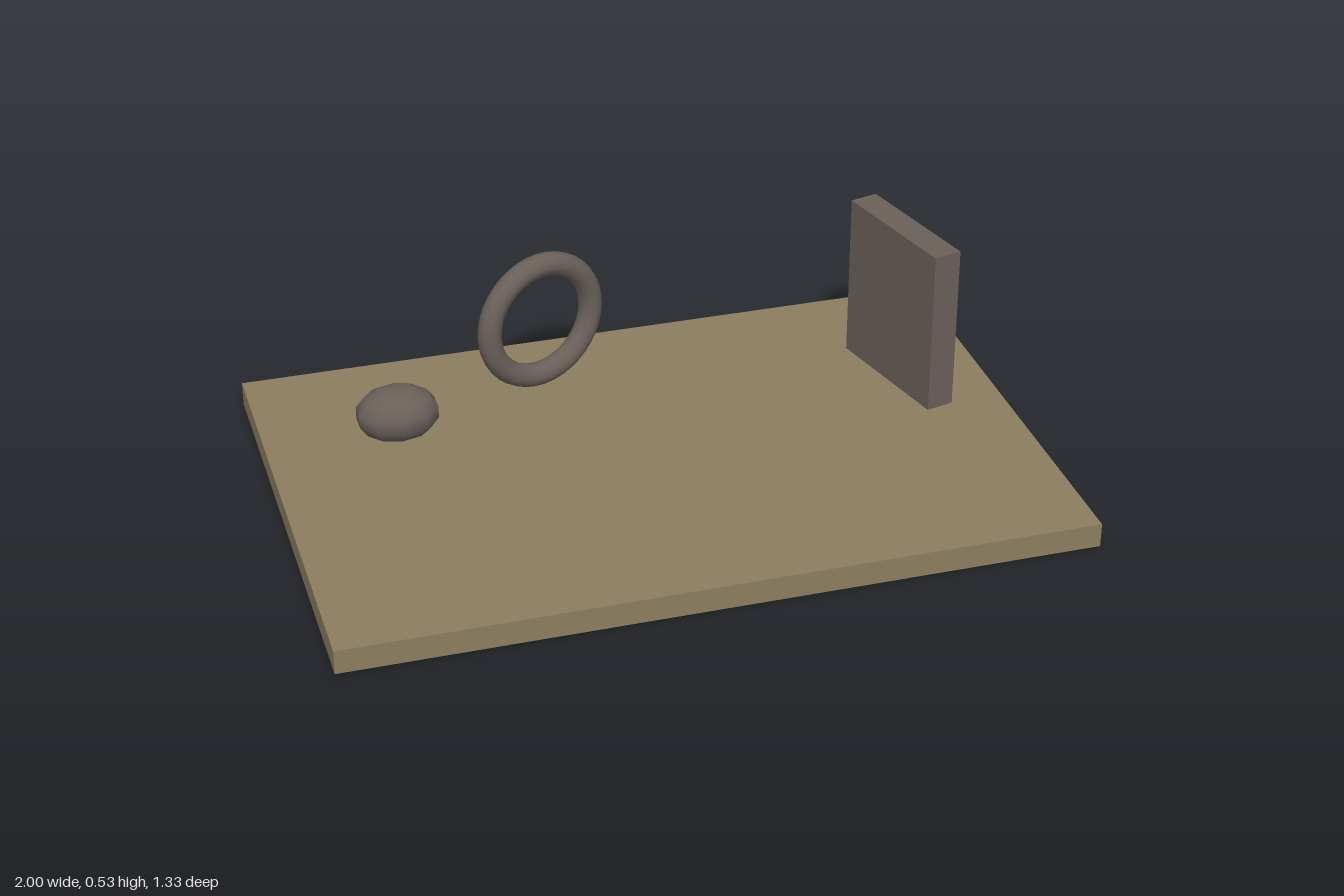
import * as THREE from 'three';

export function createModel() {
  const group = new THREE.Group();
  const sand = new THREE.MeshStandardMaterial({ color: 0x8b7d60 });
  sand.name = 'sand';
  const stone = new THREE.MeshStandardMaterial({ color: 0x6a605a });
  stone.name = 'stone';

  const add = (name, geometry, material, position, turn = 0) => {
    const mesh = new THREE.Mesh(geometry, material);
    mesh.name = name;
    mesh.position.set(...position);
    mesh.rotation.y = turn;
    group.add(mesh);
  };

  const top = 0.067;

  // Flat ground slab
  add('groundSlab', new THREE.BoxGeometry(2, top, 1.333), sand, [0, top / 2, 0]);

  // Upright slab, turned slightly
  add('standingSlab', new THREE.BoxGeometry(0.08, 0.467, 0.4), stone, [0.765, top + 0.2335, -0.2], 0.25);

  // Ring standing on its edge
  add('standingRing', new THREE.TorusGeometry(0.167, 0.033, 12, 40), stone, [-0.2, 0.267, -0.437], 0.35);

  // Squashed boulder, partly sunk into the ground
  const boulder = new THREE.SphereGeometry(1, 10, 7);
  boulder.rotateY(Math.PI / 10);
  boulder.scale(0.116, 0.077, 0.0925);
  add('boulder', boulder, stone, [-0.635, 0.12, -0.302]);

  return group;
}
